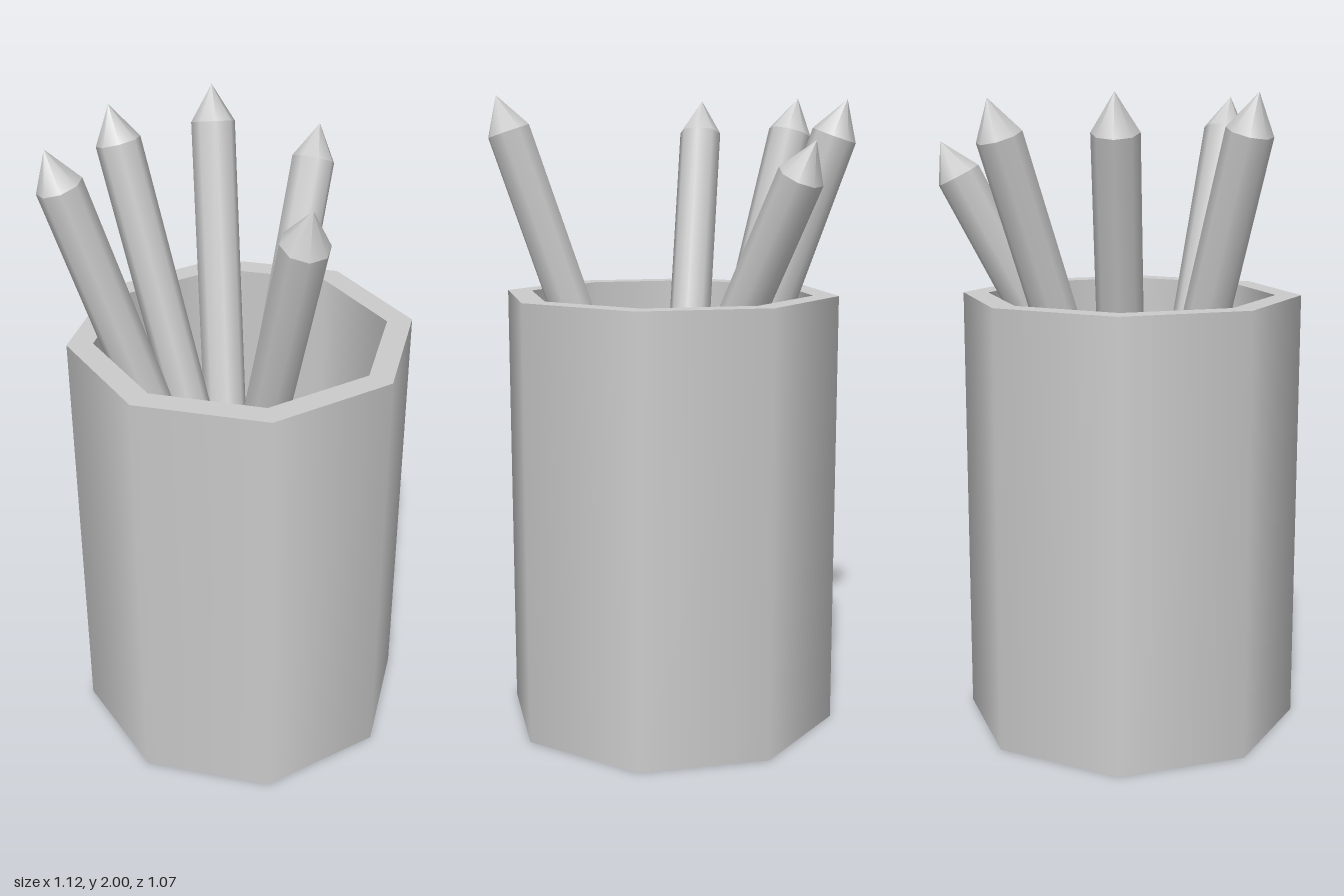
import * as THREE from 'three';

const SIDES = 8;
const grey = new THREE.MeshStandardMaterial({ color: 0xcccccc });
const greyInside = new THREE.MeshStandardMaterial({ color: 0xcccccc, side: THREE.BackSide });

function part(name, geometry, material = grey) {
  const mesh = new THREE.Mesh(geometry, material);
  mesh.name = name;
  return mesh;
}

// Eight-sided cup with a thick wall and a raised floor
function createCup() {
  const outer = 0.535, inner = 0.455, height = 1.386, floor = 0.48;
  const cup = new THREE.Group();
  cup.name = 'cup';

  const outerWall = part('outerWall', new THREE.CylinderGeometry(outer, outer, height, SIDES, 1, true));
  outerWall.position.y = height / 2;

  const depth = height - floor;
  const innerWall = part('innerWall', new THREE.CylinderGeometry(inner, inner, depth, SIDES, 1, true), greyInside);
  innerWall.position.y = floor + depth / 2;

  const rim = part('rim', new THREE.RingGeometry(inner, outer, SIDES).rotateX(-Math.PI / 2));
  rim.position.y = height;

  const cupFloor = part('floor', new THREE.CircleGeometry(inner, SIDES).rotateX(-Math.PI / 2));
  cupFloor.position.y = floor;

  const base = part('base', new THREE.CircleGeometry(outer, SIDES).rotateX(Math.PI / 2));

  cup.add(outerWall, innerWall, rim, cupFloor, base);
  cup.position.set(-0.025, 0, 0.005);
  return cup;
}

// Pencil with its point at `tip`, leaning by dx and dz per unit of height
function createPencil(tip, dx, dz) {
  const radius = 0.07, point = 0.115, bottomY = 0.45;
  const length = (tip[1] - bottomY) * Math.hypot(1, dx, dz);
  const pencil = new THREE.Group();
  pencil.name = 'pencil';

  const shaft = part('pencilShaft', new THREE.CylinderGeometry(radius, radius, length - point, SIDES));
  shaft.position.y = -(length + point) / 2;
  const cone = part('pencilPoint', new THREE.ConeGeometry(radius, point, SIDES, 1, true));
  cone.position.y = -point / 2;

  pencil.add(shaft, cone);
  pencil.position.set(...tip);
  pencil.quaternion.setFromUnitVectors(
    new THREE.Vector3(0, 1, 0),
    new THREE.Vector3(dx, 1, dz).normalize()
  );
  return pencil;
}

export function createModel() {
  const model = new THREE.Group();
  model.name = 'pencilCup';
  model.add(createCup());

  // Tip position, lean in x, lean in z
  const pencils = [
    [[-0.41, 2.0, -0.395], -0.22, -0.225],
    [[-0.015, 2.0, -0.5], 0, -0.293],
    [[0.355, 1.985, -0.39], 0.265, -0.24],
    [[0.55, 1.86, -0.105], 0.51, -0.12],
    [[-0.33, 2.0, 0.45], -0.155, 0.3],
  ];
  for (const [tip, dx, dz] of pencils) model.add(createPencil(tip, dx, dz));
  return model;
}
